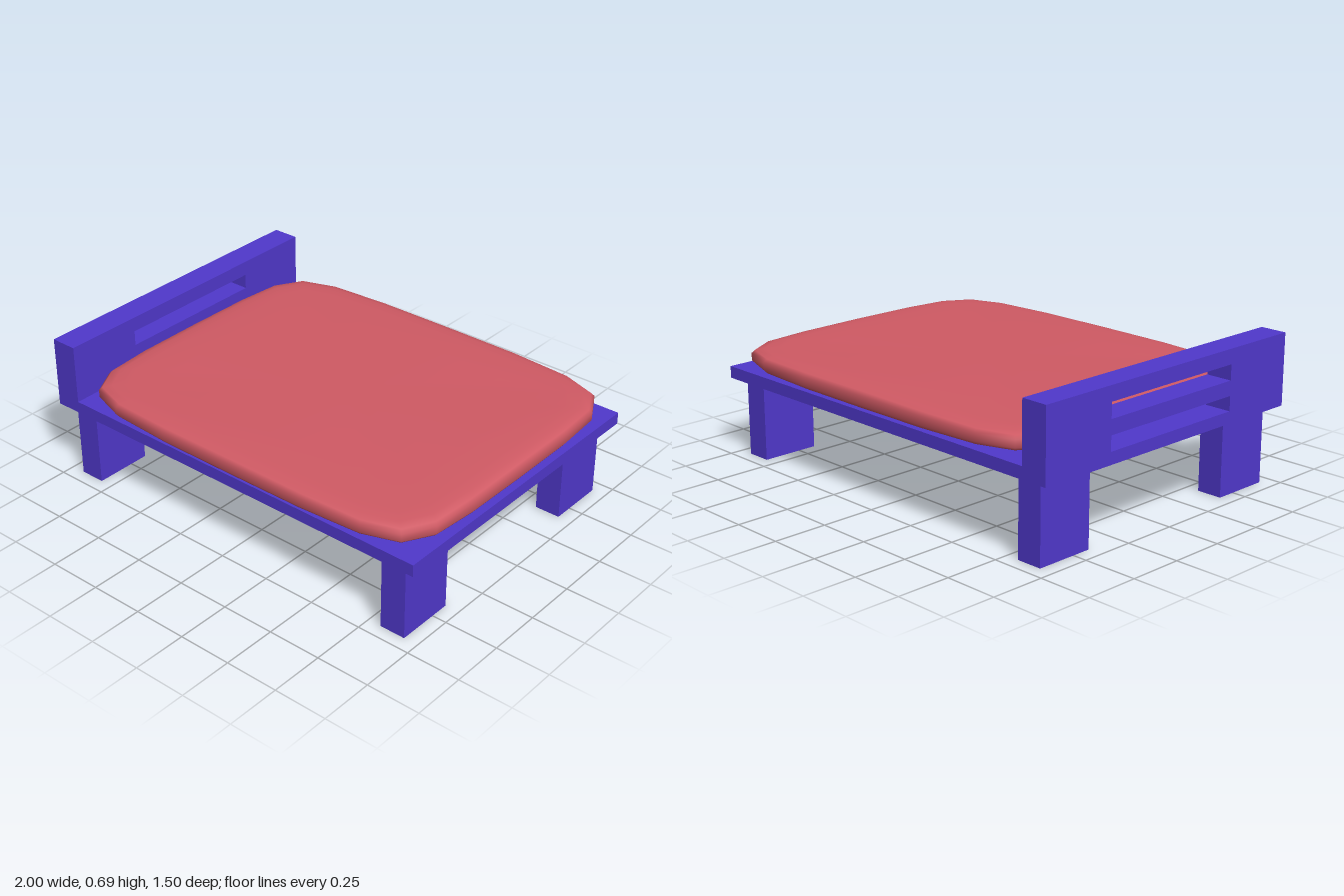
import * as THREE from 'three';

const frameMat = new THREE.MeshStandardMaterial({ color: 0x5038cc });
const clothMat = new THREE.MeshStandardMaterial({ color: 0xd05a64 });

function add(group, name, geometry, material, x = 0, y = 0, z = 0) {
  const mesh = new THREE.Mesh(geometry, material);
  mesh.name = name;
  mesh.position.set(x, y, z);
  group.add(mesh);
}

// Headboard side outline with two slots, extruded along x
function headboardGeometry() {
  const rect = (Type, w, y0, y1) => new Type([[-w, y0], [w, y0], [w, y1], [-w, y1]]
    .map(([x, y]) => new THREE.Vector2(x, y)));
  const shape = rect(THREE.Shape, 0.73, 0.36, 0.687);
  shape.holes.push(rect(THREE.Path, 0.367, 0.549, 0.619), rect(THREE.Path, 0.367, 0.415, 0.482));
  return new THREE.ExtrudeGeometry(shape, { depth: 0.125, bevelEnabled: false })
    .rotateY(Math.PI / 2).translate(-1, 0, 0);
}

// Pillow-like mattress: a rounded outline stacked in inset rings, thinner at the corners
function mattressGeometry() {
  const quarter = [[0.933, 0], [0.932, 0.33], [0.917, 0.55], [0.845, 0.68], [0.68, 0.735], [0.38, 0.75], [0, 0.75]];
  const outline = [];
  for (let q = 0; q < 4; q++) {
    const sx = q === 0 || q === 3 ? 1 : -1, sz = q < 2 ? 1 : -1;
    const pts = q % 2 ? [...quarter].reverse() : quarter;
    pts.slice(0, -1).forEach(([x, z]) => outline.push([sx * x, sz * z]));
  }
  // [inset, height from the middle]
  const half = [[0.25, 0.055], [0.1, 0.051], [0.045, 0.046], [0.012, 0.037], [0, 0.02]];
  const rings = [...half.map(([d, h]) => [d, -h]), ...[...half].reverse()];
  const n = outline.length, pos = [], index = [];
  for (const [d, h] of rings) {
    for (const [x, z] of outline) {
      const corner = Math.min(1, Math.abs(x * z) / 0.575) ** 2;
      pos.push(x * (1 - d / 0.933), h * (1 - 0.15 * corner), z * (1 - d / 0.75));
    }
  }
  for (let r = 0; r < rings.length - 1; r++) {
    for (let i = 0; i < n; i++) {
      const a = r * n + i, b = r * n + (i + 1) % n;
      index.push(a, a + n, b, b, a + n, b + n);
    }
  }
  const bottom = pos.length / 3, top = bottom + 1, last = (rings.length - 1) * n;
  pos.push(0, -0.055, 0, 0, 0.055, 0);
  for (let i = 0; i < n; i++) {
    const j = (i + 1) % n;
    index.push(bottom, i, j, top, last + j, last + i);
  }
  const geometry = new THREE.BufferGeometry();
  geometry.setAttribute('position', new THREE.Float32BufferAttribute(pos, 3));
  geometry.setIndex(index);
  geometry.computeVertexNormals();
  return geometry;
}

export function createModel() {
  const bed = new THREE.Group();
  bed.name = 'bed';

  add(bed, 'platform', new THREE.BoxGeometry(1.875, 0.055, 1.46), frameMat, 0.0625, 0.3875, 0);
  add(bed, 'headboard', headboardGeometry(), frameMat);

  const leg = new THREE.BoxGeometry(0.12, 0.36, 0.274);
  for (const x of [-0.873, 0.873]) {
    for (const z of [-0.55, 0.55]) add(bed, 'leg', leg, frameMat, x, 0.18, z);
  }

  add(bed, 'mattress', mattressGeometry(), clothMat, 0.058, 0.47, 0);
  return bed;
}
